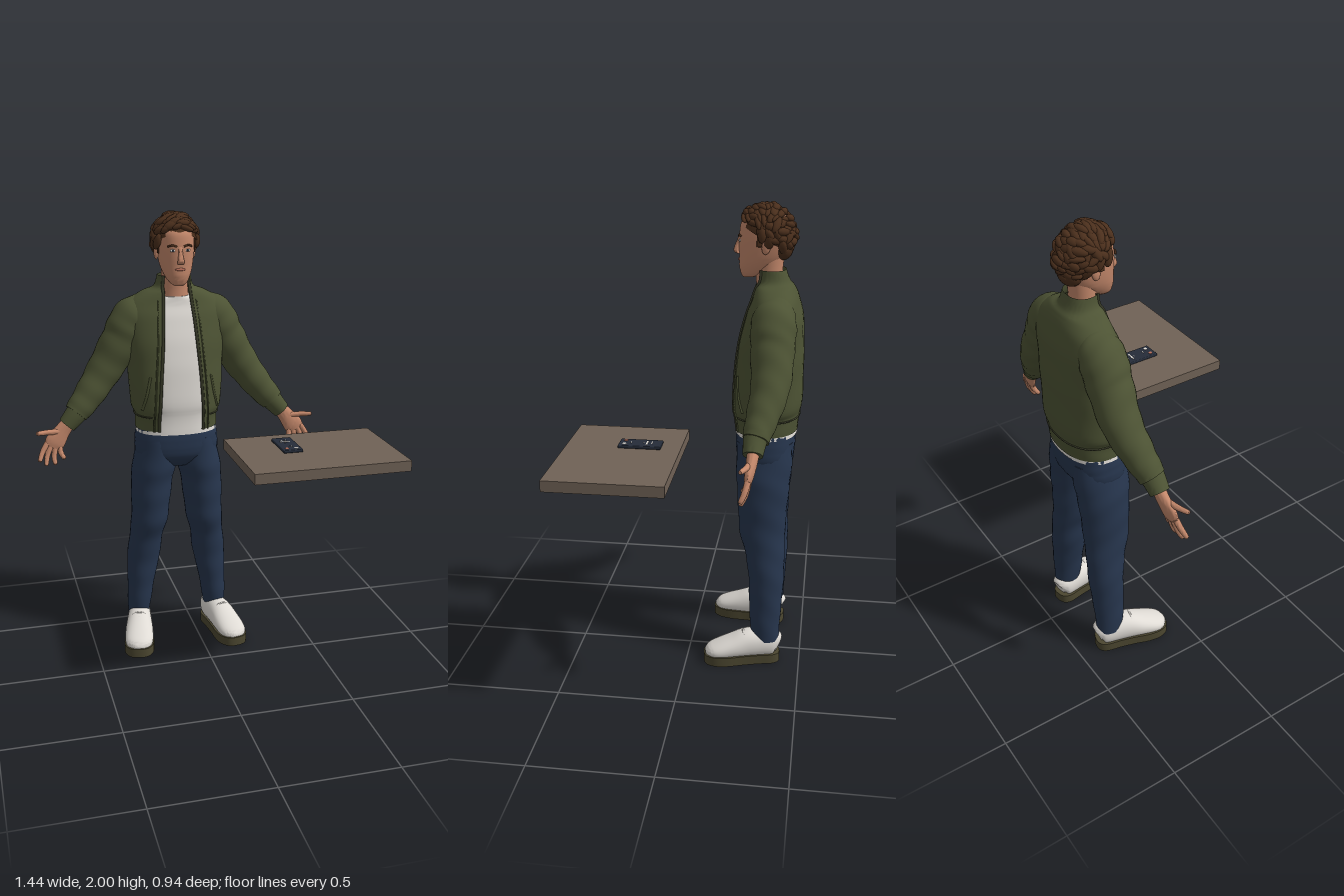
import * as THREE from 'three';
import { mergeGeometries, toCreasedNormals } from 'three/addons/utils/BufferGeometryUtils.js';
import { RoundedBoxGeometry } from 'three/addons/geometries/RoundedBoxGeometry.js';

const V = (x, y, z) => new THREE.Vector3(x, y, z);
const mat = (name, color, side = THREE.FrontSide) => Object.assign(new THREE.MeshStandardMaterial({ color, side }), { name });
const M = {
  skin: mat('skin', 0xc4886b), hair: mat('hair', 0x4b2f1c),
  jacket: mat('olive jacket', 0x4d5334, THREE.DoubleSide), trim: mat('dark olive trim', 0x383a28),
  white: mat('off white', 0xdfdbd5), jeans: mat('navy denim', 0x27364e), sole: mat('sole', 0x4c4730),
  table: mat('tabletop', 0x706256), dark: mat('dark glass', 0x252c39), coral: mat('coral', 0xb8705c),
};

function add(group, name, geometry, material, x = 0, y = 0, z = 0) {
  const m = new THREE.Mesh(geometry, material);
  m.name = name;
  m.position.set(x, y, z);
  group.add(m);
  return m;
}

// Smooth interpolation through rows of numbers, t from 0 to 1
function sample(rows, t) {
  const f = t * (rows.length - 1), i = Math.min(Math.floor(f), rows.length - 2), u = f - i;
  const at = k => rows[Math.max(0, Math.min(rows.length - 1, k))];
  return rows[i].map((p, k) => {
    const q = at(i + 1)[k], m0 = (q - at(i - 1)[k]) / 2, m1 = (at(i + 2)[k] - p) / 2;
    return p + m0 * u + (3 * (q - p) - 2 * m0 - m1) * u * u + (2 * (p - q) + m0 + m1) * u * u * u;
  });
}

const bend = (c, n) => Math.sign(c) * Math.abs(c) ** (2 / n);

// Rows are [x, y, z, side radius, front radius, half gap]; a gap leaves the front open
function loft(rows, { n = 2, seg = 28, steps = 5, up = V(0, 0, 1), flat = true, gap = false, fold = 0 } = {}) {
  const R = (rows.length - 1) * steps, W = gap ? seg + 1 : seg, pos = [], idx = [];
  for (let i = 0; i <= R; i++) {
    const T = i / R, [x, y, z, ra, rb, g] = sample(rows, T);
    const a0 = sample(rows, Math.max(0, T - 0.01)), a1 = sample(rows, Math.min(1, T + 0.01));
    const t = V(a1[0] - a0[0], a1[1] - a0[1], a1[2] - a0[2]).normalize();
    if (flat) t.set(0, Math.sign(rows[1][1] - rows[0][1]), 0);
    const v = t.clone().cross(up).normalize(), u = v.clone().cross(t);
    const open = gap ? Math.PI / 2 - Math.acos((g / ra) ** (n / 2)) : 0;
    for (let j = 0; j < W; j++) {
      const a = Math.PI / 2 + open + (2 * Math.PI - 2 * open) * j / seg;
      const k = 1 + fold * Math.sin(T * 42 + 2 * Math.sin(a) + Math.cos(2 * a));
      const p = V(x, y, z).addScaledVector(v, ra * k * bend(Math.cos(a), n)).addScaledVector(u, rb * k * bend(Math.sin(a), n));
      pos.push(p.x, p.y, p.z);
    }
  }
  for (let i = 0; i < R; i++) for (let j = 0; j < seg; j++) {
    const a = i * W + j, b = i * W + (j + 1) % W;
    idx.push(a, a + W, b, a + W, b + W, b);
  }
  if (!gap) [0, R].forEach(i => {
    const c = pos.length / 3, r = rows[i ? rows.length - 1 : 0];
    pos.push(r[0], r[1], r[2]);
    for (let j = 0; j < seg; j++) {
      const a = i * W + j, b = i * W + (j + 1) % W;
      idx.push(c, i ? b : a, i ? a : b);
    }
  });
  const geo = new THREE.BufferGeometry();
  geo.setAttribute('position', new THREE.Float32BufferAttribute(pos, 3));
  geo.setIndex(idx);
  return toCreasedNormals(geo, 0.9);
}

const tube = (points, r, seg = 30) => new THREE.TubeGeometry(new THREE.CatmullRomCurve3(points), seg, r, 6);
const ball = (x, y, z) => new THREE.SphereGeometry(1, 20, 14).scale(x, y, z);

function buildTorso(body) {
  const rows = [
    [0, 1.045, -0.32, 0.185, 0.135, 0.1], [0, 1.11, -0.318, 0.188, 0.142, 0.1], [0, 1.16, -0.32, 0.205, 0.15, 0.097],
    [0, 1.3, -0.325, 0.212, 0.147, 0.088], [0, 1.42, -0.332, 0.222, 0.138, 0.078], [0, 1.53, -0.342, 0.235, 0.121, 0.07],
    [0, 1.6, -0.345, 0.215, 0.1, 0.064], [0, 1.65, -0.342, 0.145, 0.083, 0.06], [0, 1.675, -0.335, 0.088, 0.07, 0.06],
    [0, 1.725, -0.327, 0.074, 0.058, 0.055]];
  add(body, 'jacketBody', loft(rows, { n: 2.3, seg: 44, gap: true, fold: 0.006 }), M.jacket);
  const shirt = rows.slice(0, 8).map(r => [0, r[1], r[2], r[3] - 0.012, r[4] - 0.012]);
  shirt[0] = [0, 1.028, -0.32, 0.184, 0.133];
  shirt[7] = [0, 1.635, -0.327, 0.072, 0.066];
  add(body, 'shirt', loft(shirt, { n: 2.3, seg: 40, fold: 0.004 }), M.white);
  // Zips follow the open edges, pocket welts lie on the front
  const onFront = (t, x) => {
    const r = sample(rows, t);
    return V(x, r[1], r[2] + r[4] * (1 - (Math.abs(x) / r[3]) ** 2.3) ** (1 / 2.3));
  };
  for (const s of [-1, 1]) {
    const edge = Array.from({ length: 25 }, (_, i) => onFront(i / 24, s * sample(rows, i / 24)[5]));
    add(body, 'jacketZip', tube(edge, 0.007, 70), M.trim);
    add(body, 'placketSeam', tube(edge.slice(0, 18).map(p => p.clone().add(V(s * 0.022, 0, -0.005))), 0.004, 50), M.jacket);
    add(body, 'pocketWelt', tube([0, 0.5, 1].map(k => onFront(0.2 + 0.13 * k, s * (0.17 - 0.035 * k))), 0.006), M.jacket);
  }
  const hem = Array.from({ length: 25 }, (_, i) => {
    const a = Math.PI * (0.72 + 1.56 * i / 24);
    return V(0.189 * bend(Math.cos(a), 2.3), 1.11, -0.318 + 0.143 * bend(Math.sin(a), 2.3));
  });
  add(body, 'hemSeam', tube(hem, 0.004, 60), M.trim);
}

function buildArm(body, s) {
  const side = rows => rows.map(([x, ...r]) => [s * x, ...r]);
  add(body, 'sleeve', loft(side([
    [0.12, 1.585, -0.352, 0.065, 0.07], [0.185, 1.535, -0.35, 0.09, 0.092], [0.235, 1.44, -0.35, 0.09, 0.09],
    [0.315, 1.31, -0.35, 0.078, 0.08], [0.395, 1.2, -0.325, 0.066, 0.066], [0.455, 1.13, -0.305, 0.055, 0.054]]),
  { flat: false, fold: 0.022, steps: 9 }), M.jacket);
  add(body, 'cuff', loft(side([[0.445, 1.14, -0.306, 0.05, 0.05], [0.465, 1.117, -0.302, 0.046, 0.046],
    [0.498, 1.08, -0.299, 0.04, 0.04]]), { flat: false }), M.jacket);
  const hand = new THREE.Group();
  hand.name = 'hand';
  body.add(hand);
  add(hand, 'palm', loft(side([[0.475, 1.105, -0.3, 0.029, 0.026], [0.515, 1.06, -0.297, 0.035, 0.023],
    [0.553, 1.01, -0.289, 0.045, 0.018], [0.568, 0.985, -0.285, 0.036, 0.011]]), { flat: false }), M.skin);
  // Index to little finger, then the thumb: base, middle, tip
  [[0.59, 1.005, 0.612, 0.97, 0.627, 0.935], [0.575, 0.992, 0.592, 0.95, 0.6, 0.915],
    [0.555, 0.985, 0.562, 0.945, 0.56, 0.916], [0.535, 0.985, 0.532, 0.96, 0.52, 0.938],
    [0.53, 1.055, 0.585, 1.058, 0.63, 1.06]].forEach(([ax, ay, bx, by, cx, cy], i) => {
    const end = [cx + (cx - bx) * 0.1, cy + (cy - by) * 0.1, -0.262, 0.004, 0.004];
    add(hand, i < 4 ? 'finger' : 'thumb', loft(side([[ax, ay, -0.288, 0.013, 0.013], [bx, by, -0.279, 0.012, 0.012],
      [cx, cy, -0.264, 0.0095, 0.0095], end]), { flat: false, seg: 12 }), M.skin);
  });
}

function buildLeg(body, s) {
  add(body, 'trouserLeg', loft([
    [0.09, 1.0, -0.32, 0.085, 0.118], [0.1, 0.89, -0.318, 0.1, 0.12], [0.115, 0.8, -0.318, 0.096, 0.113],
    [0.123, 0.7, -0.318, 0.09, 0.106], [0.13, 0.6, -0.32, 0.085, 0.1], [0.147, 0.5, -0.335, 0.077, 0.086],
    [0.158, 0.4, -0.343, 0.077, 0.078], [0.17, 0.3, -0.344, 0.066, 0.073], [0.18, 0.2, -0.344, 0.058, 0.067],
    [0.187, 0.105, -0.348, 0.05, 0.06]].map(([x, ...r]) => [s * x, ...r]), { fold: 0.014, steps: 8 }), M.jeans);
  const shoe = new THREE.Group();
  shoe.name = 'shoe';
  shoe.position.set(s * 0.17, 0, -0.41);
  shoe.rotation.y = s * 0.2;
  body.add(shoe);
  add(shoe, 'shoeUpper', loft([
    [0, 0.075, 0.008, 0.03, 0.04], [0, 0.082, 0.03, 0.05, 0.06], [0, 0.084, 0.1, 0.056, 0.066], [0, 0.082, 0.15, 0.06, 0.064],
    [0, 0.07, 0.21, 0.065, 0.05], [0, 0.055, 0.275, 0.064, 0.037], [0, 0.047, 0.31, 0.05, 0.028], [0, 0.042, 0.33, 0.022, 0.014]],
  { up: V(0, 1, 0), flat: false, n: 2.2 }), M.white);
  // Sole from a mirrored foot outline
  const half = [[0.03, 0.004], [0.05, 0.03], [0.054, 0.1], [0.06, 0.17], [0.069, 0.24], [0.063, 0.295], [0.035, 0.332]];
  const outline = [...half, ...half.map(([x, z]) => [-x, z]).reverse()].map(p => new THREE.Vector2(...p));
  const shape = new THREE.Shape(new THREE.CatmullRomCurve3(outline.map(p => V(p.x, p.y, 0)), true).getPoints(48).slice(0, -1).map(p => new THREE.Vector2(p.x, p.y)));
  const sole = new THREE.ExtrudeGeometry(shape, { depth: 0.042, bevelEnabled: false }).rotateX(Math.PI / 2).translate(0, 0.042, 0);
  add(shoe, 'shoeSole', toCreasedNormals(sole, 0.6), M.sole);
  for (let i = 0; i < 5; i++) {
    const lace = tube([V(-0.03, -0.01, 0), V(0, 0, 0), V(0.03, -0.01, 0)], 0.005, 8);
    add(shoe, 'shoelace', lace, M.white, 0, 0.143 - i * 0.0115, 0.163 + i * 0.021);
  }
}

function buildHead(body) {
  add(body, 'neck', loft([[0, 1.6, -0.33, 0.07, 0.066], [0, 1.66, -0.322, 0.061, 0.06], [0, 1.7, -0.315, 0.058, 0.056],
    [0, 1.78, -0.318, 0.058, 0.058]]), M.skin);
  add(body, 'head', loft([[0, 1.69, -0.23, 0.022, 0.025], [0, 1.705, -0.241, 0.04, 0.044], [0, 1.735, -0.263, 0.057, 0.073],
    [0, 1.77, -0.28, 0.069, 0.09], [0, 1.82, -0.292, 0.077, 0.104], [0, 1.87, -0.297, 0.08, 0.108],
    [0, 1.92, -0.302, 0.076, 0.102], [0, 1.955, -0.31, 0.045, 0.06]], { n: 2.25, seg: 36 }), M.skin);
  add(body, 'nose', loft([[0, 1.857, -0.193, 0.009, 0.006], [0, 1.825, -0.184, 0.01, 0.011], [0, 1.797, -0.178, 0.015, 0.013],
    [0, 1.785, -0.186, 0.014, 0.008]], { seg: 16 }), M.skin);
  add(body, 'lips', ball(0.023, 0.006, 0.006), M.coral, 0, 1.762, -0.191);
  for (const s of [-1, 1]) {
    add(body, 'eye', ball(0.013, 0.006, 0.004), M.white, s * 0.032, 1.842, -0.194);
    add(body, 'iris', ball(0.005, 0.005, 0.003), M.dark, s * 0.032, 1.842, -0.1915);
    add(body, 'eyebrow', tube([V(s * 0.014, 1.858, -0.188), V(s * 0.034, 1.864, -0.191), V(s * 0.052, 1.858, -0.203)], 0.0045, 10), M.hair);
    add(body, 'ear', ball(0.01, 0.03, 0.018).rotateX(-0.15), M.skin, s * 0.082, 1.823, -0.305);
    add(body, 'sideburn', new RoundedBoxGeometry(0.008, 0.055, 0.022, 2, 0.003), M.hair, s * 0.078, 1.85, -0.277);
  }
  // Hair: tilted cap covered with tousled locks
  let seed = 7;
  const rnd = () => (seed = (seed * 16807) % 2147483647) / 2147483647;
  const parts = [new THREE.SphereGeometry(1, 32, 18, 0, Math.PI * 2, 0, Math.PI * 0.56).scale(0.092, 0.105, 0.114)];
  for (let i = 0; i < 100; i++) {
    const az = i * 2.4, front = Math.cos(az) > 0.4, polar = Math.acos(1 - (front ? 0.95 : 1.22) * (i + 0.5) / 100);
    const p = V(0.092 * Math.sin(polar) * Math.sin(az), 0.105 * Math.cos(polar), 0.114 * Math.sin(polar) * Math.cos(az));
    const n = p.clone().normalize(), sweep = V(0.5 + rnd(), rnd() - 0.4, rnd() - 0.5);
    const x = n.clone().cross(sweep).normalize(), z = x.clone().cross(n);
    const m = new THREE.Matrix4().makeBasis(x, n, z).setPosition(p.multiplyScalar(0.98 + 0.07 * rnd()));
    parts.push(new THREE.SphereGeometry(1, 10, 7).scale(0.012 + 0.008 * rnd(), 0.011 + 0.007 * rnd(), 0.026 + 0.013 * rnd()).applyMatrix4(m));
  }
  const hair = add(body, 'hair', mergeGeometries(parts), M.hair, 0, 1.873, -0.303);
  hair.rotation.x = -0.5;
  add(body, 'napeHair', ball(0.066, 0.055, 0.045), M.hair, 0, 1.815, -0.368);
}

function buildTable(root) {
  add(root, 'tabletop', new THREE.BoxGeometry(0.665, 0.045, 0.47), M.table, 0.3875, 1.0325, 0.235);
  add(root, 'phone', new RoundedBoxGeometry(0.085, 0.013, 0.175, 2, 0.004), M.dark, 0.2875, 1.0615, 0.1675);
  for (const [w, d, x, z] of [[0.026, 0.004, 0.286, 0.12], [0.044, 0.007, 0.287, 0.14], [0.008, 0.004, 0.283, 0.155], [0.014, 0.004, 0.29, 0.205]])
    add(root, 'screenMark', new THREE.BoxGeometry(w, 0.002, d), M.white, x, 1.0685, z);
  [[0.266, M.coral], [0.307, M.white]].forEach(([x, m]) =>
    add(root, 'screenButton', new THREE.CylinderGeometry(0.0085, 0.0085, 0.002, 20), m, x, 1.0685, 0.231));
}

export function createModel() {
  const root = new THREE.Group();
  const body = new THREE.Group();
  body.name = 'standingMan';
  body.position.x = -0.085;
  root.add(body);
  buildTorso(body);
  buildHead(body);
  add(body, 'trouserSeat', loft([[0, 1.045, -0.32, 0.182, 0.128], [0, 0.98, -0.318, 0.19, 0.129], [0, 0.92, -0.318, 0.185, 0.12],
    [0, 0.87, -0.32, 0.12, 0.085], [0, 0.855, -0.32, 0.05, 0.04]], { n: 2.4, fold: 0.004 }), M.jeans);
  for (const s of [-1, 1]) {
    buildArm(body, s);
    buildLeg(body, s);
  }
  buildTable(root);
  return root;
}
